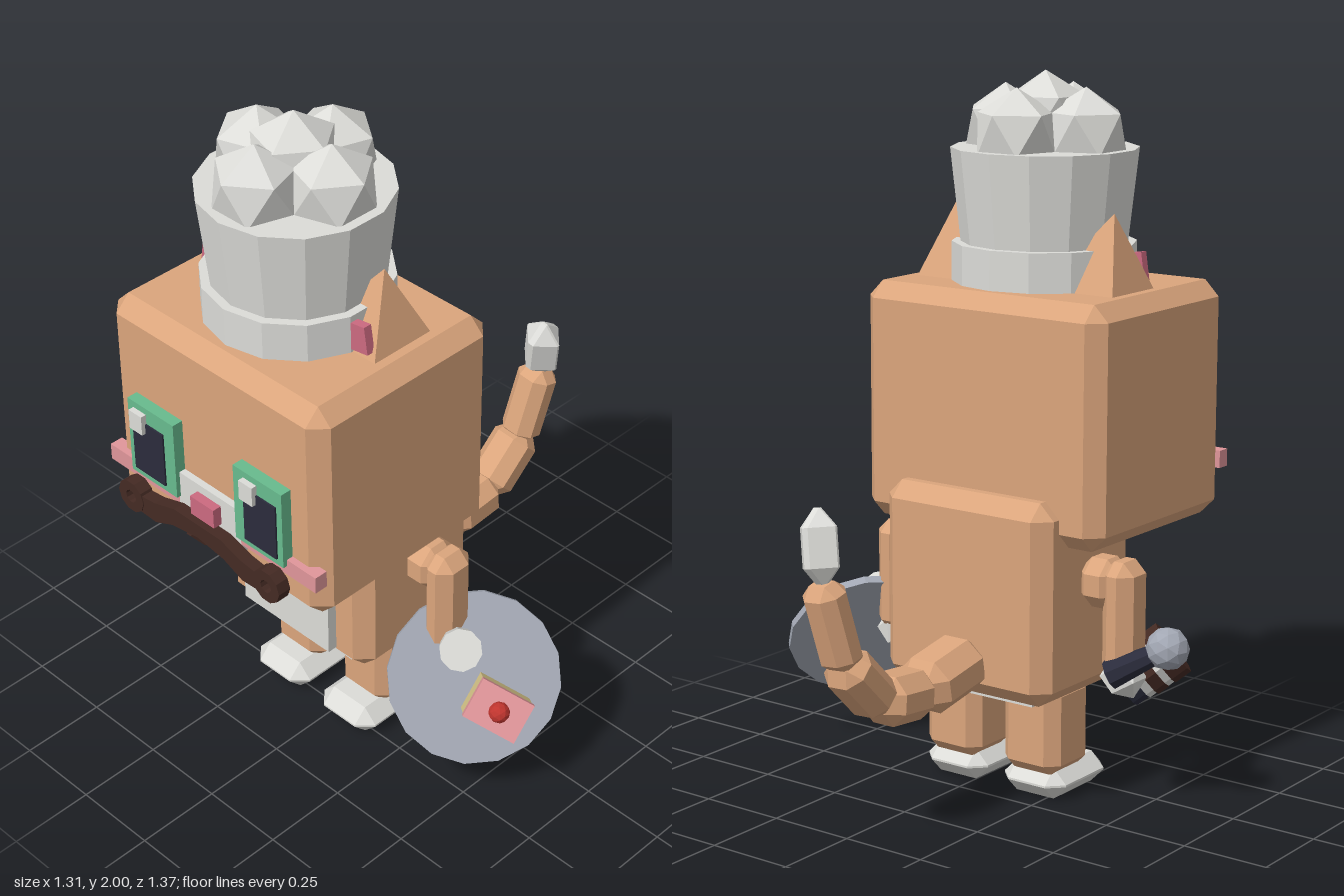
import * as THREE from 'three';
import { ConvexGeometry } from 'three/addons/geometries/ConvexGeometry.js';

const mat = (name, color) => {
  const m = new THREE.MeshStandardMaterial({ color });
  m.name = name;
  m.flatShading = true;
  return m;
};

// Box with every edge and corner cut off
function chamferBox(w, h, d, c) {
  const pts = [], x = w / 2, y = h / 2, z = d / 2;
  for (const i of [-1, 1]) for (const j of [-1, 1]) for (const k of [-1, 1]) {
    pts.push(new THREE.Vector3(i * x, j * (y - c), k * (z - c)));
    pts.push(new THREE.Vector3(i * (x - c), j * y, k * (z - c)));
    pts.push(new THREE.Vector3(i * (x - c), j * (y - c), k * z));
  }
  return new ConvexGeometry(pts);
}

export function createModel() {
  const fur = mat('fur', 0xdba57c), white = mat('white', 0xdcdcd8), navy = mat('navy', 0x2b2c3c);
  const green = mat('green', 0x68bb8e), rose = mat('rose', 0xcc6a80), pink = mat('pink', 0xe0969a);
  const brown = mat('brown', 0x442a23), grey = mat('blueGrey', 0xa2a7b3);
  const yellow = mat('sponge', 0xdcca8c), red = mat('cherryRed', 0xc0352f);

  const model = new THREE.Group();
  const figure = new THREE.Group();
  figure.name = 'figure';
  figure.position.x = -0.07;
  model.add(figure);

  const add = (parent, name, geo, m, x = 0, y = 0, z = 0) => {
    const mesh = new THREE.Mesh(geo, m);
    mesh.name = name;
    mesh.position.set(x, y, z);
    parent.add(mesh);
    return mesh;
  };
  // Blocks given by their limits: [x0, x1], [y0, y1], [z0, z1]
  const block = (name, m, [x0, x1], [y0, y1], [z0, z1], c = 0) => add(figure, name,
    c ? chamferBox(x1 - x0, y1 - y0, z1 - z0, c) : new THREE.BoxGeometry(x1 - x0, y1 - y0, z1 - z0),
    m, (x0 + x1) / 2, (y0 + y1) / 2, (z0 + z1) / 2);
  // Put a mesh with its y axis along the line from a to b
  const align = (mesh, a, b) => {
    mesh.position.copy(a).lerp(b, 0.5);
    mesh.quaternion.setFromUnitVectors(new THREE.Vector3(0, 1, 0), b.clone().sub(a).normalize());
  };
  const V = (x, y, z) => new THREE.Vector3(x, y, z);

  // Head and body
  block('head', fur, [-0.4, 0.4], [0.75, 1.42], [-0.02, 0.62], 0.045);
  block('body', fur, [-0.28, 0.28], [0.31, 0.88], [-0.09, 0.35], 0.045);
  block('belly', white, [-0.17, 0.17], [0.36, 0.8], [0.33, 0.38]);
  block('hipPlate', white, [-0.18, 0.18], [0.285, 0.33], [0.0, 0.3]);

  for (const s of [-1, 1]) {
    const side = (a, b) => (s > 0 ? [a, b] : [-b, -a]);
    // Legs, feet, arms and hands
    block('leg', fur, side(0.04, 0.23), [0.07, 0.34], [0.035, 0.225], 0.035);
    block('foot', white, side(0.03, 0.24), [0, 0.09], [0.04, 0.31], 0.042);
    block('shoulder', fur, side(0.26, 0.39), [0.57, 0.71], [0.07, 0.2], 0.04);
    block('arm', fur, side(0.34, 0.44), [0.38, 0.71], [0.07, 0.2], 0.035);
    add(figure, 'hand', new THREE.IcosahedronGeometry(0.065), white, s * 0.39, 0.38, 0.135);

    // Ears: leaning pyramids with a small inner plate
    const ear = [V(0.08, 1.4, 0.14), V(0.08, 1.4, 0.36), V(0.335, 1.4, 0.14),
      V(0.335, 1.4, 0.36), V(0.265, 1.63, 0.25)];
    ear.forEach((p) => { p.x *= s; });
    add(figure, 'ear', new ConvexGeometry(ear), fur);
    const inner = add(figure, 'innerEar', new THREE.BoxGeometry(0.06, 0.08, 0.025), rose, s * 0.275, 1.475, 0.345);
    inner.rotation.z = s * 0.15;

    // Eyes
    block('eyeFrame', green, side(0.115, 0.295), [0.91, 1.15], [0.6, 0.653]);
    block('pupil', navy, side(0.155, 0.275), [0.93, 1.1], [0.651, 0.658]);
    const gx = s > 0 ? 0.153 : -0.273;
    block('eyeGlint', white, [gx, gx + 0.05], [1.07, 1.13], [0.65, 0.67]);

    block('whisker', pink, side(0.12, 0.4), [0.88, 0.93], [0.6, 0.64]);
    // Mouth curve
    const mouth = add(figure, 'mouth', new THREE.TorusGeometry(0.037, 0.013, 5, 8, Math.PI), navy, s * 0.045, 0.86, 0.642);
    mouth.rotation.z = Math.PI;

    // Moustache curls
    const ring = new THREE.Shape().absarc(0, 0, 0.05, 0, Math.PI * 2);
    ring.holes.push(new THREE.Path().absarc(0, 0, 0.02, 0, Math.PI * 2, true));
    add(figure, 'moustacheCurl', new THREE.ExtrudeGeometry(ring,
      { depth: 0.04, bevelEnabled: false, curveSegments: 5 }), brown, s * 0.265, 0.852, 0.65);
  }

  // Muzzle, nose and moustache
  block('muzzle', white, [-0.12, 0.12], [0.8, 0.99], [0.6, 0.64]);
  block('nose', rose, [-0.045, 0.045], [0.905, 0.965], [0.62, 0.667]);
  const half = [[0, 0.905], [0.09, 0.905], [0.17, 0.88], [0.235, 0.872], [0.235, 0.818],
    [0.17, 0.815], [0.1, 0.845], [0, 0.86]];
  const outline = [...half, ...half.slice(1, -1).reverse().map(([x, y]) => [-x, y])];
  add(figure, 'moustache', new THREE.ExtrudeGeometry(
    new THREE.Shape(outline.map(([x, y]) => new THREE.Vector2(x, y))),
    { depth: 0.036, bevelEnabled: false }), brown, 0, 0, 0.651);

  // Hat: band, flared crown and puffs
  add(figure, 'hatBand', new THREE.CylinderGeometry(0.258, 0.258, 0.12, 14), white, 0, 1.47, 0.3);
  add(figure, 'hatCrown', new THREE.CylinderGeometry(0.262, 0.22, 0.38, 14), white, 0, 1.6, 0.3);
  const puff = new THREE.IcosahedronGeometry(0.125).rotateZ(-0.5536);
  add(figure, 'hatPuff', puff, white, 0, 1.875, 0.3);
  for (let i = 0; i < 4; i++) {
    const a = i * Math.PI / 2;
    const p = add(figure, 'hatPuff', puff, white, 0.135 * Math.cos(a), 1.835, 0.3 + 0.135 * Math.sin(a));
    p.rotation.y = -a;
  }

  // Tail: a chain of blocks ending in a pale tip
  const path = [V(0, 0.41, -0.06), V(0, 0.37, -0.275), V(0, 0.385, -0.45), V(0.01, 0.52, -0.58),
    V(0.03, 0.735, -0.635), V(0.07, 0.935, -0.605)];
  const width = [0.17, 0.15, 0.135, 0.115, 0.12];
  for (let i = 0; i < 5; i++) {
    const w = width[i], tip = i === 4;
    const len = path[i].distanceTo(path[i + 1]) + (tip ? 0 : 0.025);
    const seg = add(figure, tip ? 'tailTip' : 'tailSegment', chamferBox(w, len, w * 0.9, w * (tip ? 0.42 : 0.27)), tip ? white : fur);
    align(seg, path[i], path[i + 1]);
  }

  // Serving plate with cake and cup, tilted outwards
  const tray = new THREE.Group();
  tray.name = 'servingTray';
  const n = V(0.62, 0.54, 0.57).normalize();
  const u = V(0, -0.72, 0.69).cross(n).negate().normalize();
  tray.quaternion.setFromRotationMatrix(new THREE.Matrix4().makeBasis(u, n, u.clone().cross(n)));
  tray.position.set(0.44, 0.335, 0.15);
  model.add(tray);
  add(tray, 'plate', new THREE.CylinderGeometry(0.243, 0.243, 0.025, 16), grey);
  add(tray, 'cakeSponge', new THREE.BoxGeometry(0.155, 0.09, 0.113), yellow, 0.085, 0.057, 0.034);
  add(tray, 'cakeIcing', new THREE.BoxGeometry(0.16, 0.03, 0.118), pink, 0.085, 0.117, 0.034);
  add(tray, 'cherry', new THREE.IcosahedronGeometry(0.03, 1), red, 0.085, 0.148, 0.034);
  add(tray, 'cup', new THREE.CylinderGeometry(0.06, 0.05, 0.1, 10), white, -0.084, 0.06, -0.06);

  // Banded mug in the other hand
  const top = V(-0.53, 0.442, 0.278), low = V(-0.42, 0.335, 0.19);
  const bands = [[0, 0.3, brown, 0.082], [0.3, 0.42, white, 0.078], [0.42, 0.62, brown, 0.08],
    [0.62, 0.76, white, 0.074], [0.76, 1, navy, 0.07]];
  for (const [t0, t1, m, r] of bands) {
    const a = top.clone().lerp(low, t0), b = top.clone().lerp(low, t1);
    align(add(model, 'mugBand', new THREE.CylinderGeometry(r, r, a.distanceTo(b), 10), m), a, b);
  }

  // Knobbed handle behind the mug
  const knob = V(-0.6, 0.485, 0.138), end = V(-0.455, 0.4, 0.075);
  align(add(model, 'knobHandle', new THREE.CylinderGeometry(0.025, 0.042, knob.distanceTo(end), 8), navy), end, knob);
  add(model, 'knob', new THREE.IcosahedronGeometry(0.06, 1), grey, knob.x, knob.y, knob.z);

  return model;
}
